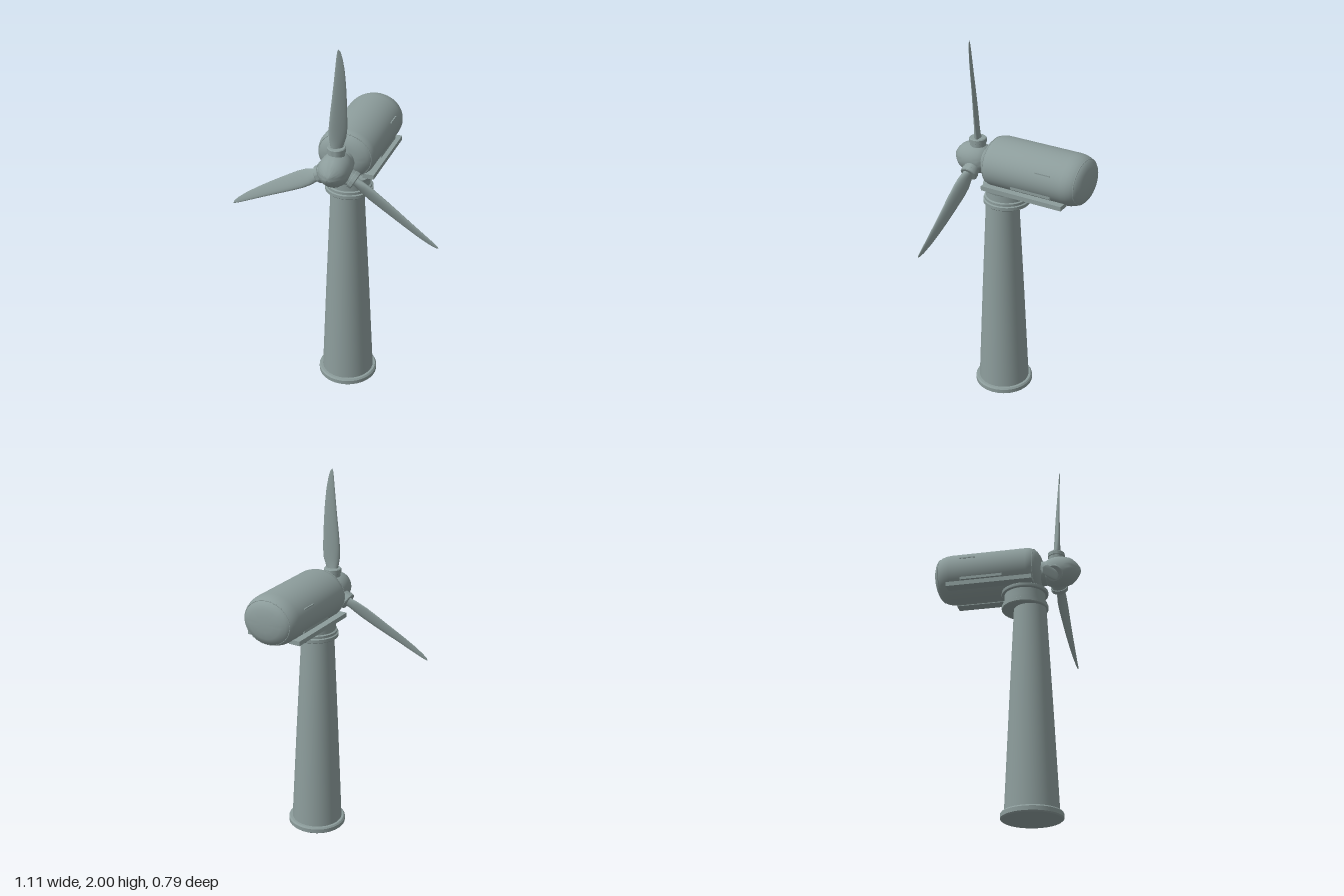
import * as THREE from 'three';
import { toCreasedNormals } from 'three/addons/utils/BufferGeometryUtils.js';

const paint = new THREE.MeshStandardMaterial({ color: 0x8c9c9b });
paint.name = 'greyGreenPaint';

function part(name, geometry, parent) {
  const mesh = new THREE.Mesh(geometry, paint);
  mesh.name = name;
  parent.add(mesh);
  return mesh;
}

// Turned solid from [radius, height] pairs, listed bottom to top
function turned(profile, segments = 48) {
  const points = profile.map(([r, h]) => new THREE.Vector2(r, h));
  return toCreasedNormals(new THREE.LatheGeometry(points, segments), 0.6);
}

function box(name, parent, size, position) {
  const mesh = part(name, new THREE.BoxGeometry(...size), parent);
  mesh.position.set(...position);
  return mesh;
}

// Blade lofted through twisted sections:
// [height, left x, right x, left z, right z, thickness]
function bladeGeometry() {
  const sections = [
    [0.09, -0.026, 0.026, 0.272, 0.258, 0.046],
    [0.13, -0.027, 0.034, 0.282, 0.252, 0.034],
    [0.17, -0.032, 0.046, 0.285, 0.249, 0.027],
    [0.22, -0.032, 0.052, 0.286, 0.251, 0.024],
    [0.30, -0.024, 0.053, 0.286, 0.256, 0.02],
    [0.38, -0.014, 0.053, 0.286, 0.261, 0.016],
    [0.46, -0.004, 0.052, 0.287, 0.268, 0.012],
    [0.54, 0.005, 0.048, 0.288, 0.276, 0.009],
    [0.60, 0.012, 0.04, 0.289, 0.283, 0.006],
    [0.63, 0.017, 0.032, 0.29, 0.287, 0.004],
    [0.64, 0.021, 0.024, 0.29, 0.29, 0.002],
  ];
  const n = 20, positions = [], index = [];
  sections.forEach(([y, xl, xr, zl, zr, thick], row) => {
    const dx = (xr - xl) / 2, dz = (zr - zl) / 2, len = Math.hypot(dx, dz);
    for (let i = 0; i < n; i++) {
      const a = (i / n) * Math.PI * 2;
      const c = Math.cos(a);
      const s = Math.sin(a) * (thick / 2) * (1 - 0.3 * c);
      positions.push((xl + xr) / 2 + c * dx - (s * dz) / len, y, (zl + zr) / 2 + c * dz + (s * dx) / len);
      if (row < sections.length - 1) {
        const p = row * n + i, q = row * n + ((i + 1) % n);
        index.push(p, p + n, q, q, p + n, q + n);
      }
    }
  });
  // Close the tip
  const last = (sections.length - 1) * n;
  for (let i = 1; i < n - 1; i++) index.push(last, last + i + 1, last + i);
  const geometry = new THREE.BufferGeometry();
  geometry.setAttribute('position', new THREE.Float32BufferAttribute(positions, 3));
  geometry.setIndex(index);
  geometry.computeVertexNormals();
  return geometry;
}

export function createModel() {
  const model = new THREE.Group();
  model.name = 'windTurbine';
  const cx = 0.006;

  // Tower with its foot ring
  const tower = new THREE.Group();
  tower.name = 'tower';
  tower.position.set(cx, 0, 0.118);
  model.add(tower);
  part('towerShaft', turned([[0.14, 0.02], [0.114, 0.6], [0.087, 1.16]]), tower);
  part('footRing', turned([
    [0, 0], [0.152, 0], [0.159, 0.006], [0.159, 0.028], [0.152, 0.036], [0.13, 0.036],
  ]), tower);

  // Yaw bearing between tower and nacelle
  const bearing = part('yawBearing', turned([
    [0, 1.15], [0.121, 1.15], [0.125, 1.154], [0.125, 1.171], [0.118, 1.175], [0.118, 1.188],
    [0.11, 1.192], [0.11, 1.236], [0.124, 1.238], [0.126, 1.242], [0.126, 1.254], [0.12, 1.258], [0, 1.258],
  ]), model);
  bearing.position.set(cx, 0, 0.09);

  // Nacelle, a rounded barrel slightly wider than tall
  const nacelle = new THREE.Group();
  nacelle.name = 'nacelle';
  nacelle.position.set(cx, 1.373, 0);
  model.add(nacelle);
  const shell = turned([
    [0, -0.397], [0.05, -0.395], [0.09, -0.389], [0.118, -0.378], [0.132, -0.365], [0.143, -0.347],
    [0.15, -0.325], [0.153, -0.3], [0.153, 0.12], [0.149, 0.138], [0.14, 0.155], [0.125, 0.17],
    [0.1, 0.183], [0.075, 0.19], [0, 0.19],
  ], 64);
  shell.rotateX(Math.PI / 2).scale(1, 0.865, 1);
  part('nacelleShell', shell, nacelle);
  for (const [name, z, r] of [['frontSeam', 0.154, 0.1405], ['rearSeam', -0.364, 0.1325]]) {
    const seam = part(name, new THREE.TorusGeometry(r, 0.0025, 6, 64), nacelle);
    seam.scale.y = 0.865;
    seam.position.z = z;
  }

  // Side rails, trim strips and vents, mirrored
  for (const side of [-1, 1]) {
    box('sideRail', nacelle, [0.06, 0.024, 0.465], [side * 0.124, -0.098, -0.078]);
    box('trimStrip', nacelle, [0.01, 0.016, 0.23], [side * 0.134, -0.062, -0.125]);
    box('vent', nacelle, [0.008, 0.006, 0.085], [side * 0.138, 0.058, -0.198]);
  }

  // Rotor: shaft, spinner and three blades in sockets
  const rotor = new THREE.Group();
  rotor.name = 'rotor';
  rotor.position.set(0.004, 1.36, 0);
  model.add(rotor);
  part('rotorShaft', turned([[0.066, 0.17], [0.066, 0.225]]).rotateX(Math.PI / 2), rotor);
  part('spinner', turned([
    [0, 0.2], [0.055, 0.2], [0.067, 0.212], [0.077, 0.232], [0.083, 0.258], [0.084, 0.285],
    [0.08, 0.315], [0.073, 0.34], [0.062, 0.357], [0.045, 0.374], [0.026, 0.388], [0.012, 0.395], [0, 0.397],
  ]).rotateX(Math.PI / 2), rotor);

  const blade = bladeGeometry();
  const socket = turned([
    [0.042, 0.05], [0.042, 0.09], [0.046, 0.092], [0.046, 0.112], [0.042, 0.116], [0, 0.116],
  ], 32);
  for (let i = 0; i < 3; i++) {
    const arm = new THREE.Group();
    arm.name = 'bladeArm';
    arm.rotation.z = (i * Math.PI * 2) / 3;
    rotor.add(arm);
    part('bladeSocket', socket, arm).position.z = 0.265;
    part('blade', blade, arm);
  }
  return model;
}
